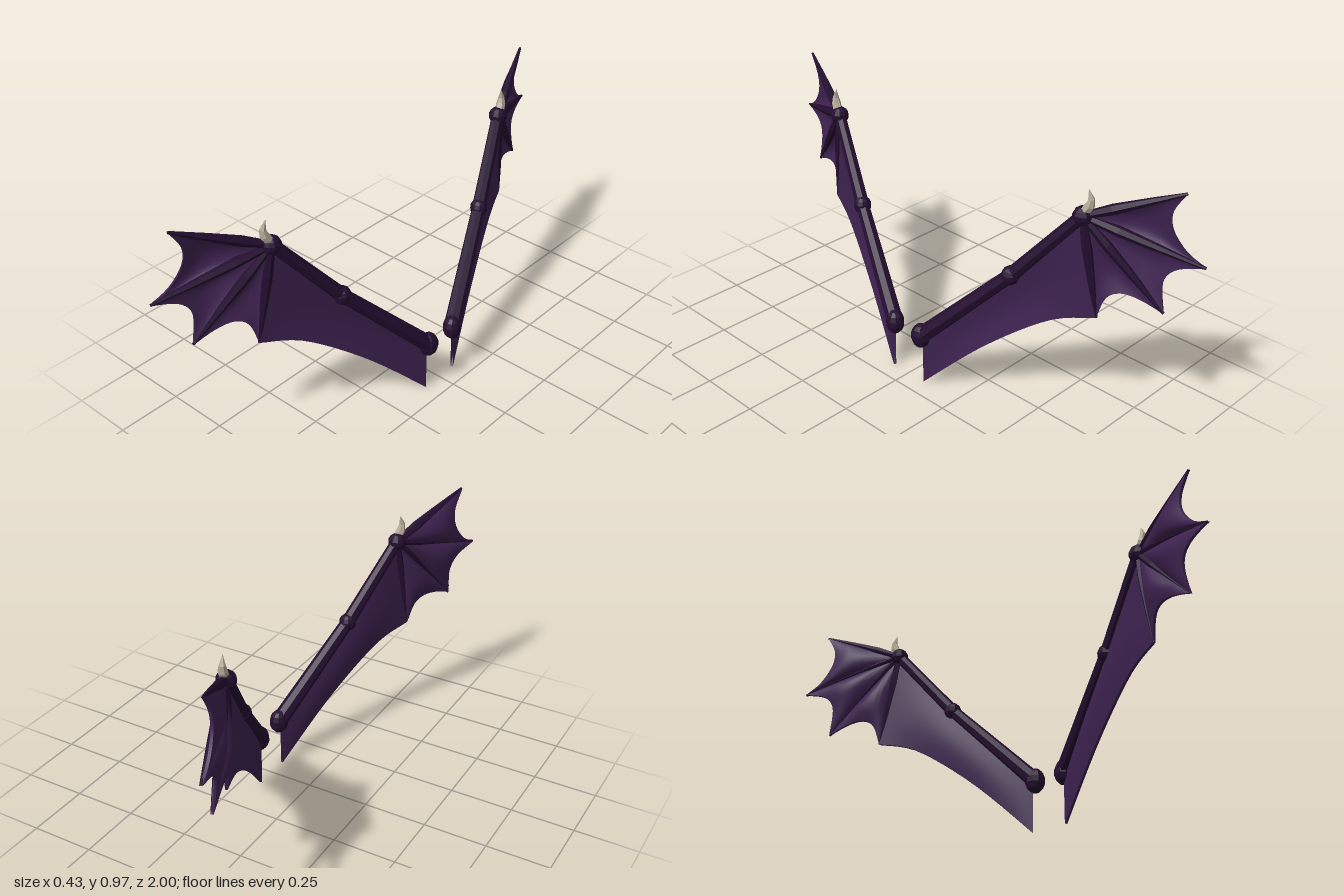
import * as THREE from 'three';
import { toCreasedNormals } from 'three/addons/utils/BufferGeometryUtils.js';

const TILT = 0.398; // how far each wing sweeps away from the z axis
const V2 = (p) => new THREE.Vector2(p[0], p[1]);

// wing-plane coordinates (z, y) plus an offset n along the plane's normal
const place = (z, y, n = 0) =>
  new THREE.Vector3(0.21 - 0.42 * z + n * Math.cos(TILT), y, z + n * Math.sin(TILT));

// surface from a function of rows and columns, mirrored in z when side is -1
function grid(fn, rows, cols, side) {
  const pos = [], idx = [];
  for (let i = 0; i <= rows; i++)
    for (let j = 0; j <= cols; j++) {
      const p = fn(i, j);
      pos.push(p.x, p.y, p.z * side);
    }
  for (let i = 0; i < rows; i++)
    for (let j = 0; j < cols; j++) {
      const a = i * (cols + 1) + j, b = a + 1, c = a + cols + 1, d = c + 1;
      if (side > 0) idx.push(a, b, c, b, d, c);
      else idx.push(a, c, b, b, c, d);
    }
  const g = new THREE.BufferGeometry();
  g.setAttribute('position', new THREE.Float32BufferAttribute(pos, 3));
  g.setIndex(idx);
  g.computeVertexNormals();
  return g;
}

// tapered bone running through points of the wing plane
function bone(points, radii, side, sides = 8) {
  return grid((i, j) => {
    const c = V2(points[i]);
    const t = V2(points[Math.min(i + 1, points.length - 1)])
      .sub(V2(points[Math.max(i - 1, 0)])).normalize();
    const a = (j / sides) * Math.PI * 2, r = radii[i];
    // across = tangent x normal, within the wing plane
    return place(c.x - t.y * r * Math.sin(a) * 0.92, c.y + t.x * r * Math.sin(a), r * Math.cos(a));
  }, points.length - 1, sides, side);
}

// thin skin between an inner line and an outer edge, with a billow
function skin(inner, outer, billow, side, half = 0.005) {
  const rows = 16, k = 8;
  const g = grid((i, j) => {
    const t = i / rows;
    const front = j <= k || j === 2 * k + 2;
    const s = j === 2 * k + 2 ? 0 : front ? j / k : (2 * k + 1 - j) / k;
    const p = inner(t).lerp(outer(t), s);
    return place(p.x, p.y, billow(s, t) + (front ? half : -half));
  }, rows, 2 * k + 2, side);
  return toCreasedNormals(g, 0.7);
}

export function createModel() {
  const membraneMat = new THREE.MeshStandardMaterial({ color: 0x3e2250, side: THREE.DoubleSide });
  membraneMat.name = 'purple membrane';
  const boneMat = new THREE.MeshStandardMaterial({ color: 0x240d30, flatShading: true });
  boneMat.name = 'dark purple bone';
  const clawMat = new THREE.MeshStandardMaterial({ color: 0xb5aa98, flatShading: true });
  clawMat.name = 'pale claw';

  const shoulder = [0.07, 0.205], elbow = [0.385, 0.54], wrist = [0.61, 0.822];
  const tips = [[0.92, 0.965], [0.998, 0.71], [0.885, 0.51], [0.675, 0.44]];
  // scalloped edges between neighbouring finger tips
  const scallops = [
    [tips[0], [0.882, 0.89], [0.887, 0.82], [0.935, 0.75], tips[1]],
    [tips[1], [0.91, 0.68], [0.872, 0.62], tips[2]],
    [tips[2], [0.81, 0.54], [0.745, 0.548], [0.7, 0.52], tips[3]],
  ];
  const trailing = [tips[3], [0.52, 0.39], [0.3, 0.222], [0.08, 0.001]];
  const curve = (pts) => {
    const c = new THREE.SplineCurve(pts.map(V2));
    return (t) => c.getPoint(t);
  };

  function makeWing(side, name) {
    const wing = new THREE.Group();
    wing.name = name;
    const add = (geo, mat, part) => {
      const m = new THREE.Mesh(geo, mat);
      m.name = part;
      wing.add(m);
      return m;
    };

    // skin panels fanning out from the wrist, deepest before the edge
    scallops.forEach((pts, i) => add(
      skin(() => V2(wrist), curve(pts),
        (s, t) => -Math.sin(Math.PI * t) * (0.024 * Math.sin(Math.PI * s * s) + 0.014 * s), side),
      membraneMat, 'fingerMembrane' + (i + 1)));

    // large panel hanging under the arm
    const arm = (t) => t < 0.45
      ? V2(wrist).lerp(V2(elbow), t / 0.45)
      : V2(elbow).lerp(V2([0.078, 0.205]), (t - 0.45) / 0.55);
    add(skin(arm, curve(trailing),
      (s, t) => -0.014 * Math.sin(Math.PI * s) * Math.sin(Math.PI * t), side),
    membraneMat, 'armMembrane');

    // arm bones
    add(bone([shoulder, elbow], [0.033, 0.026], side), boneMat, 'upperArm');
    add(bone([elbow, wrist], [0.027, 0.023], side), boneMat, 'forearm');

    // fingers, thickest a third of the way out
    tips.forEach((tip, i) => {
      const path = [0, 0.3, 0.65, 1].map((t) => V2(wrist).lerp(V2(tip), t).toArray());
      add(bone(path, [0.013, 0.019, 0.013, 0.005], side, 6), boneMat, 'finger' + (i + 1));
    });

    // joints
    [['shoulderJoint', shoulder, [0.036, 0.05, 0.039]],
      ['elbowJoint', elbow, [0.035, 0.036, 0.034]],
      ['wristJoint', wrist, [0.036, 0.035, 0.036]]].forEach(([part, at, size]) => {
      const joint = add(new THREE.SphereGeometry(1, 10, 7), boneMat, part);
      joint.position.copy(place(at[0], at[1]));
      joint.position.z *= side;
      joint.rotation.y = -TILT * side;
      joint.scale.set(...size);
    });

    // hooked claw above the wrist
    const claw = add(bone([[0.617, 0.84], [0.633, 0.865], [0.637, 0.89], [0.627, 0.925]],
      [0.018, 0.018, 0.012, 0.0005], side, 6), clawMat, 'claw');
    claw.position.x = 0.005;
    return wing;
  }

  const model = new THREE.Group();
  model.name = 'wings';
  model.add(makeWing(1, 'frontWing'), makeWing(-1, 'backWing'));
  return model;
}
